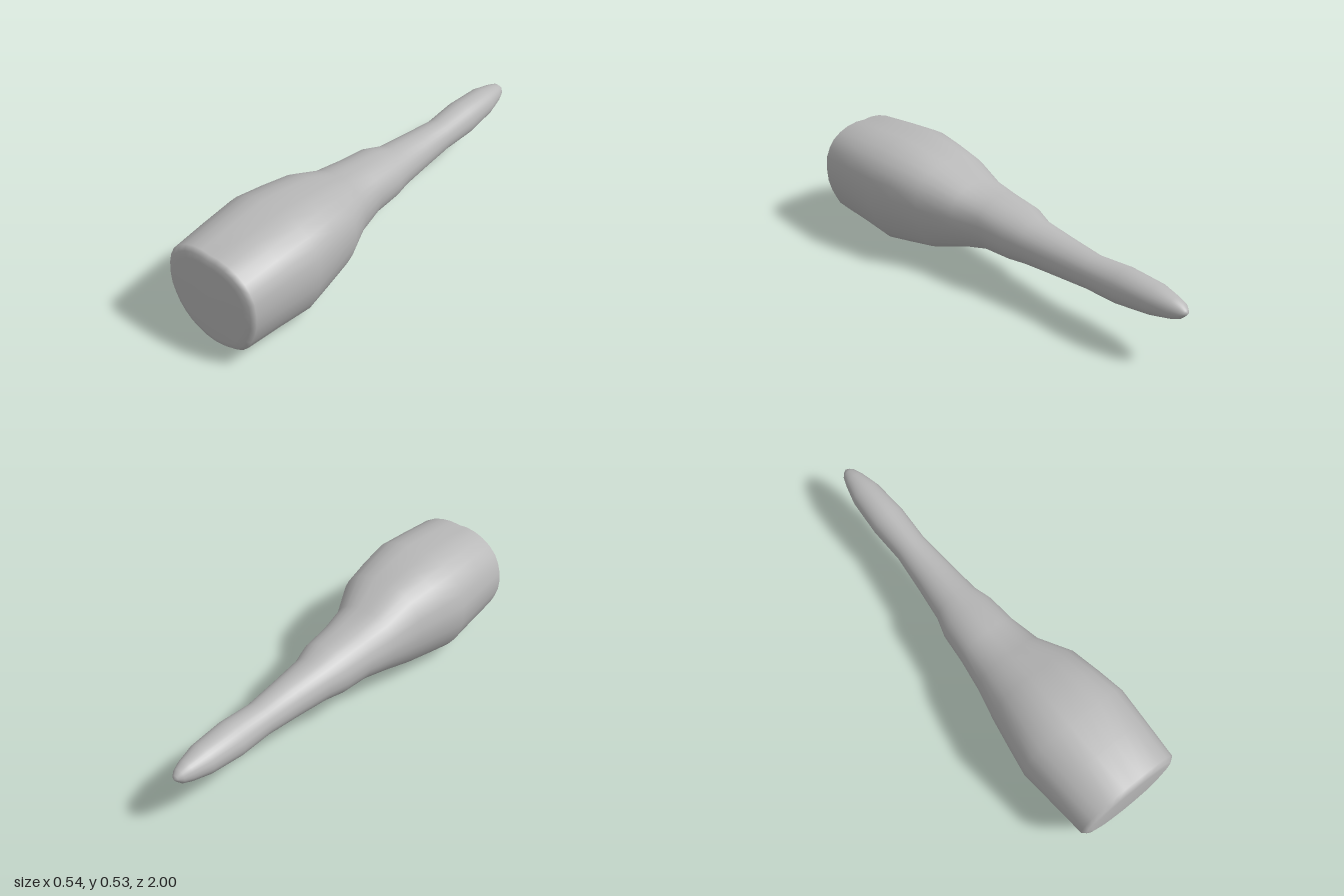
import * as THREE from 'three';

// Unit outline of the body, counter-clockwise seen from the front (fuller at the top)
const OUTLINE = [
  [1, 0.2], [0.98, 0.46], [0.9, 0.64], [0.79, 0.79], [0.62, 0.9], [0.43, 0.97], [0.22, 1], [0.02, 0.985],
  [-0.15, 1], [-0.35, 0.97], [-0.53, 0.9], [-0.7, 0.79], [-0.84, 0.64], [-0.93, 0.46], [-0.985, 0.25], [-1, 0.08],
  [-0.98, -0.14], [-0.92, -0.33], [-0.83, -0.53], [-0.7, -0.7], [-0.55, -0.83], [-0.37, -0.92], [-0.18, -0.98],
  [0.03, -1], [0.24, -0.965], [0.42, -0.9], [0.6, -0.81], [0.74, -0.66], [0.83, -0.48], [0.91, -0.3], [0.98, -0.06],
];

// Cross-sections from front to back: z, xMin, xMax, yMin, yMax
const SECTIONS = [
  [0.998, -0.1, 0.1, 0.17, 0.37],
  [0.995, -0.195, 0.2, 0.08, 0.46],
  [0.99, -0.222, 0.23, 0.054, 0.487],
  [0.975, -0.24, 0.25, 0.037, 0.508],
  [0.8, -0.256, 0.26, 0.022, 0.524],
  [0.63, -0.271, 0.27, 0.003, 0.536],
  [0.5, -0.25, 0.248, 0.028, 0.52],
  [0.36, -0.225, 0.222, 0.056, 0.498],
  [0.21, -0.19, 0.15, 0.108, 0.432],
  [0.07, -0.17, 0.122, 0.147, 0.41],
  [-0.07, -0.157, 0.112, 0.152, 0.397],
  [-0.16, -0.128, 0.09, 0.162, 0.368],
  [-0.33, -0.107, 0.075, 0.173, 0.352],
  [-0.5, -0.09, 0.062, 0.183, 0.336],
  [-0.67, -0.097, 0.068, 0.184, 0.349],
  [-0.84, -0.087, 0.055, 0.205, 0.341],
  [-0.93, -0.064, 0.032, 0.226, 0.322],
  [-0.97, -0.05, 0.016, 0.242, 0.308],
  [-0.99, -0.033, 0.0, 0.262, 0.29],
];

// Loft the outline through every section, closing both ends with a fan
function loft(sections) {
  const n = OUTLINE.length;
  const positions = [];
  const index = [];
  sections.forEach(([z, x0, x1, y0, y1]) => {
    const roundness = THREE.MathUtils.clamp((0.4 - z) / 0.6, 0, 1);
    OUTLINE.forEach(([u, v]) => {
      // the outline relaxes to a circle along the thin end
      const r = Math.hypot(u, v);
      const s = 1 + (1 / r - 1) * roundness;
      positions.push((x0 + x1) / 2 + u * s * (x1 - x0) / 2, (y0 + y1) / 2 + v * s * (y1 - y0) / 2, z);
    });
  });
  const front = sections.length * n;
  const back = front + 1;
  positions.push(0, 0.27, 1, -0.018, 0.276, -1);
  const last = (sections.length - 1) * n;
  for (let j = 0; j < n; j++) {
    const k = (j + 1) % n;
    for (let i = 0; i < sections.length - 1; i++) {
      const a = i * n + j, b = i * n + k, c = a + n, d = b + n;
      index.push(a, c, b, b, c, d);
    }
    index.push(front, j, k, back, last + k, last + j);
  }
  const geometry = new THREE.BufferGeometry();
  geometry.setAttribute('position', new THREE.Float32BufferAttribute(positions, 3));
  geometry.setIndex(index);
  geometry.computeVertexNormals();
  return geometry;
}

export function createModel() {
  const group = new THREE.Group();
  const grey = new THREE.MeshStandardMaterial({ color: 0xb8b8b8 });
  grey.name = 'grey';

  // Broad flat-ended body narrowing into a slender rounded tip
  const body = new THREE.Mesh(loft(SECTIONS), grey);
  body.name = 'taperedBody';
  group.add(body);
  return group;
}
